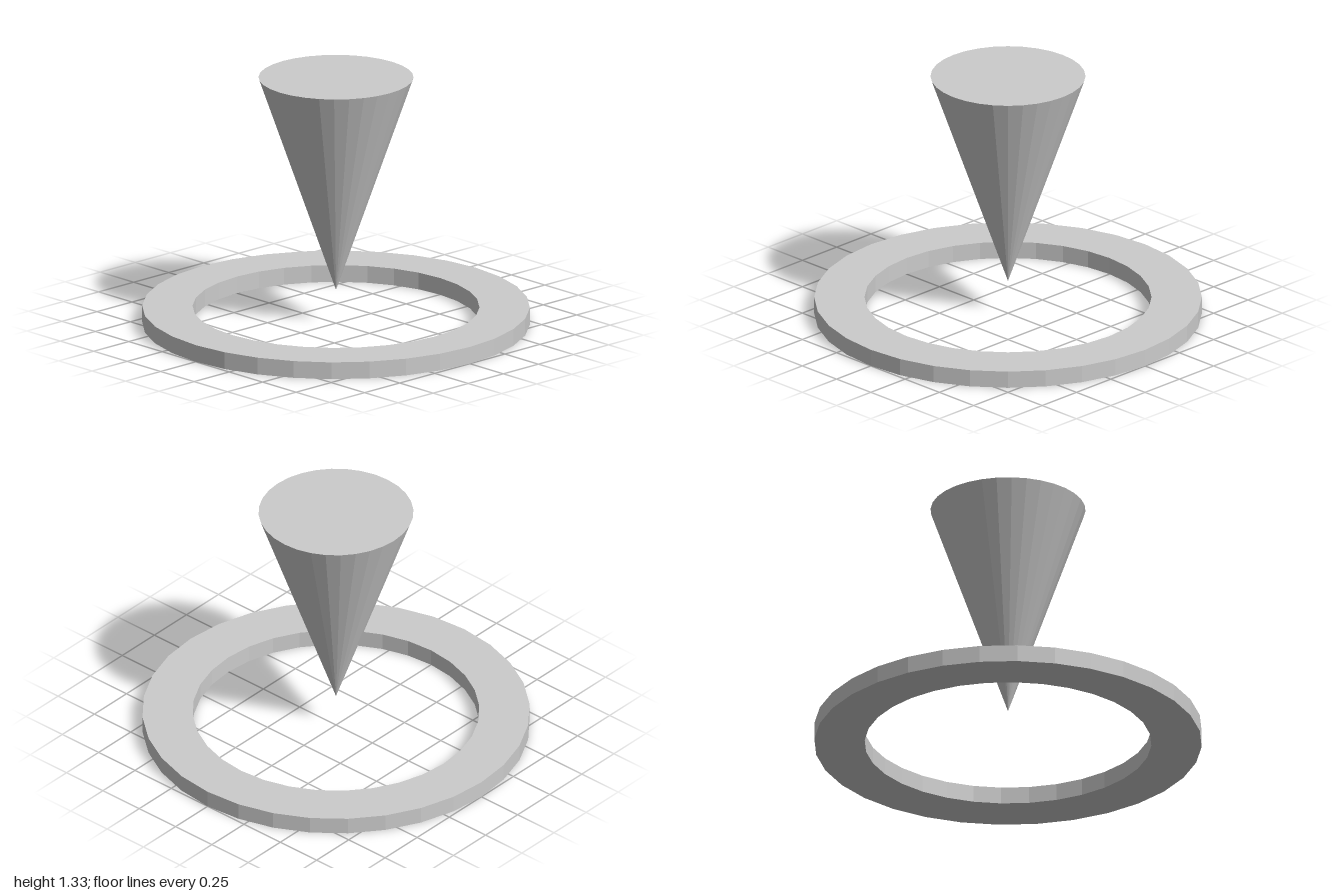
import * as THREE from 'three';

const SIDES = 32;

export function createModel() {
  const group = new THREE.Group();
  const material = new THREE.MeshStandardMaterial({ color: 0xcccccc, flatShading: true });

  const add = (name, geometry, y = 0) => {
    const mesh = new THREE.Mesh(geometry, material);
    mesh.name = name;
    mesh.position.y = y;
    group.add(mesh);
    return mesh;
  };

  // Flat ring with a rectangular cross-section, resting on the ground
  const outer = 1, inner = 0.74, thickness = 0.09;
  const section = [
    [inner, 0], [outer, 0], [outer, thickness], [inner, thickness], [inner, 0],
  ].map(([x, y]) => new THREE.Vector2(x, y));
  add('baseRing', new THREE.LatheGeometry(section, SIDES));

  // Pointer cone floating above the ring, tip down
  const tip = 0.18, top = 1.325;
  const cone = new THREE.ConeGeometry(0.4, top - tip, SIDES).rotateX(Math.PI);
  add('pointerCone', cone, (tip + top) / 2);

  return group;
}
